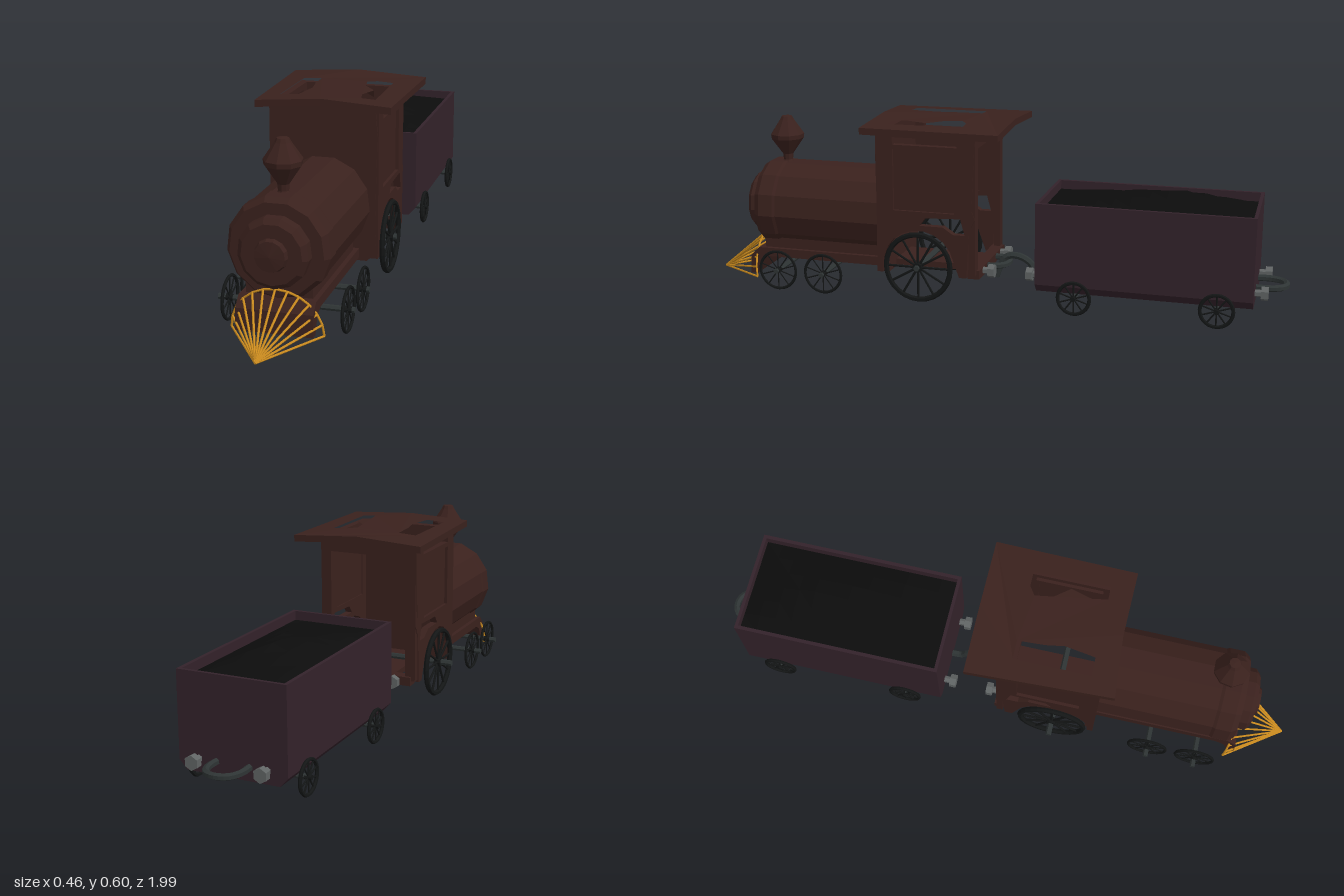
import * as THREE from 'three';

const mat = (color, side = THREE.FrontSide) =>
  new THREE.MeshStandardMaterial({ color, side, flatShading: true });
const V = (x, y, z) => new THREE.Vector3(x, y, z);

export function createModel() {
  const model = new THREE.Group();
  const brown = mat(0x3a211d), plum = mat(0x33222a), coalMat = mat(0x0c0c0c, THREE.DoubleSide);
  const black = mat(0x131515), iron = mat(0x2e3434), steel = mat(0x606464), gold = mat(0xc98a1e);

  const add = (name, geo, material, x = 0, y = 0, z = 0, parent = model) => {
    const m = new THREE.Mesh(geo, material);
    m.name = name;
    m.position.set(x, y, z);
    parent.add(m);
    return m;
  };
  // Box given by its min and max corners
  const box = (name, a, b, material) => add(name,
    new THREE.BoxGeometry(b[0] - a[0], b[1] - a[1], b[2] - a[2]), material,
    (a[0] + b[0]) / 2, (a[1] + b[1]) / 2, (a[2] + b[2]) / 2);
  const poly = (pts) => pts.map(p => new THREE.Vector2(p[0], p[1]));
  const rect = (x0, y0, x1, y1) => [[x0, y0], [x1, y0], [x1, y1], [x0, y1]];
  const extrude = (pts, depth, holes = []) => {
    const s = new THREE.Shape(poly(pts));
    s.holes = holes.map(h => new THREE.Path(poly(h)));
    return new THREE.ExtrudeGeometry(s, { depth, bevelEnabled: false, curveSegments: 8 });
  };
  // Profile in (z, y), extruded across x and centred on x = 0
  const sidePlate = (pts, width, holes) =>
    extrude(pts, width, holes).rotateY(-Math.PI / 2).translate(width / 2, 0, 0);
  const rod = (name, a, b, r, material, parent = model) => {
    const m = add(name, new THREE.CylinderGeometry(r, r, a.distanceTo(b), 6), material, 0, 0, 0, parent);
    m.position.copy(a).add(b).multiplyScalar(0.5);
    m.quaternion.setFromUnitVectors(V(0, 1, 0), b.clone().sub(a).normalize());
    return m;
  };
  const pipe = (name, pts, r, material) => add(name,
    new THREE.TubeGeometry(new THREE.CatmullRomCurve3(pts), 20, r, 6), material);

  // Spoked wheel standing in the YZ plane
  function wheel(name, x, y, z, r, tyre, spokes) {
    const g = new THREE.Group();
    g.name = name;
    g.position.set(x, y, z);
    add('tyre', new THREE.TorusGeometry(r - tyre, tyre, 6, 28).rotateY(Math.PI / 2), black, 0, 0, 0, g);
    add('hub', new THREE.CylinderGeometry(r * 0.14, r * 0.14, 0.022, 10).rotateZ(Math.PI / 2), black, 0, 0, 0, g);
    for (let i = 0; i < spokes; i++) {
      const a = (i / spokes) * Math.PI * 2;
      rod('spoke', V(0, 0, 0), V(0, Math.cos(a) * (r - tyre), Math.sin(a) * (r - tyre)), tyre * 0.45, black, g);
    }
    model.add(g);
  }
  // Axle with a wheel at each end
  function wheelSet(name, y, z, r, tyre, spokes, x0, x1, axleR) {
    for (const s of [-1, 1]) wheel(name + 'Wheel', s * 0.18, y, z, r, tyre, spokes);
    rod(name + 'Axle', V(x0, y, z), V(x1, y, z), axleR, iron);
  }
  wheelSet('leading', 0.075, 0.7, 0.07, 0.005, 10, -0.215, 0.2, 0.009);
  wheelSet('middle', 0.075, 0.535, 0.07, 0.005, 10, -0.215, 0.2, 0.009);
  wheelSet('driving', 0.127, 0.195, 0.12, 0.009, 12, -0.23, 0.2, 0.01);
  wheelSet('tenderFront', 0.065, -0.33, 0.058, 0.006, 10, -0.18, 0.18, 0.009);
  wheelSet('tenderRear', 0.065, -0.785, 0.058, 0.006, 10, -0.18, 0.18, 0.009);

  // Boiler with stepped smokebox door
  const boiler = [[0, 0.32], [0.15, 0.32], [0.15, 0.72], [0.154, 0.73], [0.154, 0.78], [0.14, 0.8],
    [0.105, 0.8], [0.105, 0.83], [0.09, 0.845], [0.05, 0.845], [0.045, 0.86], [0, 0.865]];
  add('boiler', new THREE.LatheGeometry(poly(boiler), 13).rotateX(Math.PI / 2), brown, 0, 0.272, 0);

  // Chimney with diamond cap
  const stack = [[0.03, 0.4], [0.016, 0.425], [0.018, 0.445], [0.056, 0.5], [0.058, 0.515],
    [0.024, 0.565], [0.018, 0.577], [0, 0.579]];
  add('chimney', new THREE.LatheGeometry(poly(stack), 9), brown, 0, 0, 0.728);

  // Underframe curving down at the nose
  add('underframe', sidePlate([[0.33, 0.1], [0.76, 0.1], [0.79, 0.085], [0.81, 0.035], [0.835, 0.035],
    [0.83, 0.1], [0.8, 0.13], [0.33, 0.13]], 0.23), brown);
  box('boilerSaddle', [-0.1, 0.12, 0.36], [0.1, 0.17, 0.78], brown);
  box('cabFloor', [-0.08, 0.095, 0], [0.07, 0.115, 0.34], brown);
  box('rearBeam', [-0.16, 0.095, -0.01], [0.16, 0.125, 0.03], brown);

  // Cab: front wall, sides arched over the driving wheels, rear opening
  const front = [[-0.14, 0.09], [0.14, 0.09], [0.17, 0.12], [0.165, 0.2], [0.172, 0.5], [0.165, 0.58],
    [-0.165, 0.58], [-0.172, 0.5], [-0.165, 0.2], [-0.17, 0.12]];
  add('cabFront', extrude(front, 0.03), brown, 0, 0, 0.31);
  const arch = [];
  for (let i = 0; i <= 8; i++) {
    const a = Math.PI * (0.06 + 0.78 * i / 8);
    arch.push([0.195 + 0.124 * Math.cos(a), 0.127 + 0.124 * Math.sin(a)]);
  }
  const sideOutline = [[0, 0.58], [0.012, 0.33], [0.0, 0.3], [0.02, 0.26], [0.03, 0.1], [0.055, 0.1],
    ...arch.slice().reverse(), [0.32, 0.1], [0.34, 0.1], [0.335, 0.58]];
  const sideHoles = [
    rect(0.06, 0.535, 0.28, 0.56),
    rect(0.07, 0.315, 0.28, 0.52),
    [[0.035, 0.245], [0.075, 0.245], [0.11, 0.268], [0.19, 0.268], [0.17, 0.295], [0.05, 0.3]],
  ];
  for (const s of [-1, 1]) {
    add('cabSide', sidePlate(sideOutline, 0.024, sideHoles), brown, s * 0.163);
    box('cabSidePanel', [s * 0.16 - 0.005, 0.31, 0.065], [s * 0.16 + 0.005, 0.525, 0.285], brown);
    box('rearPost', [s * 0.155 - 0.018, 0.11, 0.0], [s * 0.155 + 0.018, 0.58, 0.022], brown);
  }
  box('rearLintel', [-0.16, 0.53, 0], [0.16, 0.58, 0.022], brown);

  // Roof with two ragged openings, raised slightly along the middle
  const roofEdge = [[-0.225, 0.09], [0, 0.09], [0.228, 0.09], [0.222, -0.375], [0, -0.37], [-0.205, -0.385]];
  const roofHoles = [
    [[-0.15, -0.05], [-0.09, -0.05], [-0.085, -0.14], [-0.075, -0.2], [-0.085, -0.27], [-0.09, -0.3], [-0.15, -0.3]],
    [[0.07, -0.07], [0.1, -0.05], [0.15, -0.05], [0.155, -0.3], [0.11, -0.3], [0.1, -0.25], [0.12, -0.18], [0.08, -0.13]],
  ];
  const roof = extrude(roofEdge, 0.022, roofHoles).rotateX(-Math.PI / 2);
  const rp = roof.attributes.position;
  for (let i = 0; i < rp.count; i++)
    rp.setY(i, rp.getY(i) + 0.572 + 0.014 * (1 - Math.abs(rp.getX(i)) / 0.228));
  roof.computeVertexNormals();
  add('cabRoof', roof, brown);

  // Pilot: bars fanning back from the tip to an arched rim
  const tip = V(0, 0.015, 0.99), rim = [];
  for (let i = 0; i <= 12; i++) {
    const a = Math.PI * i / 12;
    rim.push(V(0.138 * Math.cos(a), 0.03 + 0.132 * Math.sin(a), 0.8 + 0.015 * Math.sin(a)));
  }
  const pilot = new THREE.Group();
  pilot.name = 'pilot';
  rim.forEach((p, i) => {
    rod('pilotBar', tip, p, 0.0035, gold, pilot);
    if (i) rod('pilotRim', rim[i - 1], p, 0.0035, gold, pilot);
  });
  model.add(pilot);

  // Tender tub: open channel with chamfered bottom, closed by end plates
  const outer = [[-0.175, 0.37], [-0.175, 0.1], [-0.15, 0.072], [0.15, 0.072], [0.175, 0.1], [0.175, 0.37]];
  const inner = [[0.163, 0.37], [0.163, 0.1], [0.15, 0.085], [-0.15, 0.085], [-0.163, 0.1], [-0.163, 0.37]];
  add('tenderBody', extrude([...outer, ...inner], 0.673), plum, 0, 0, -0.884);
  for (const z of [-0.895, -0.211]) add('tenderEnd', extrude(outer, 0.011), plum, 0, 0, z);

  // Coal heap rising to an off-centre peak
  const coal = new THREE.PlaneGeometry(0.326, 0.673, 6, 12).rotateX(-Math.PI / 2);
  const cp = coal.attributes.position;
  for (let i = 0; i < cp.count; i++) {
    const x = cp.getX(i), z = cp.getZ(i) - 0.5475;
    const along = z > -0.65 ? (z + 0.65) / 0.44 : (-0.65 - z) / 0.234;
    cp.setY(i, 0.34 + 0.065 * Math.max(0, 1 - Math.max(along, Math.abs(x) / 0.163)));
  }
  coal.computeVertexNormals();
  add('coal', coal, coalMat, 0, 0, -0.5475);

  // Buffers: shank and head, dir is the way they point along z
  const buffer = (x, z, dir) => {
    rod('bufferShank', V(x, 0.113, z), V(x, 0.113, z + dir * 0.03), 0.012, steel);
    rod('bufferHead', V(x, 0.113, z + dir * 0.02), V(x, 0.113, z + dir * 0.042), 0.023, steel);
  };
  for (const s of [-1, 1]) {
    buffer(s * 0.11, -0.2, 1);
    buffer(s * 0.11, -0.895, -1);
    buffer(s * 0.11, -0.008, -1);
  }

  // Coupling loops and the hook joining engine and tender
  const loop = (name, z, len) => pipe(name, [V(-0.053, 0.113, z), V(-0.053, 0.113, z - len * 0.5),
    V(-0.035, 0.113, z - len * 0.88), V(0, 0.113, z - len), V(0.035, 0.113, z - len * 0.88),
    V(0.053, 0.113, z - len * 0.5), V(0.053, 0.113, z)], 0.011, iron);
  loop('rearCoupling', -0.89, 0.099);
  loop('engineCoupling', 0, 0.07);
  pipe('couplingHook', [V(0, 0.085, -0.21), V(0, 0.09, -0.165), V(0, 0.12, -0.14), V(0, 0.138, -0.1),
    V(0, 0.132, -0.06), V(0, 0.1, -0.04), V(0, 0.06, -0.025)], 0.012, iron);

  return model;
}
